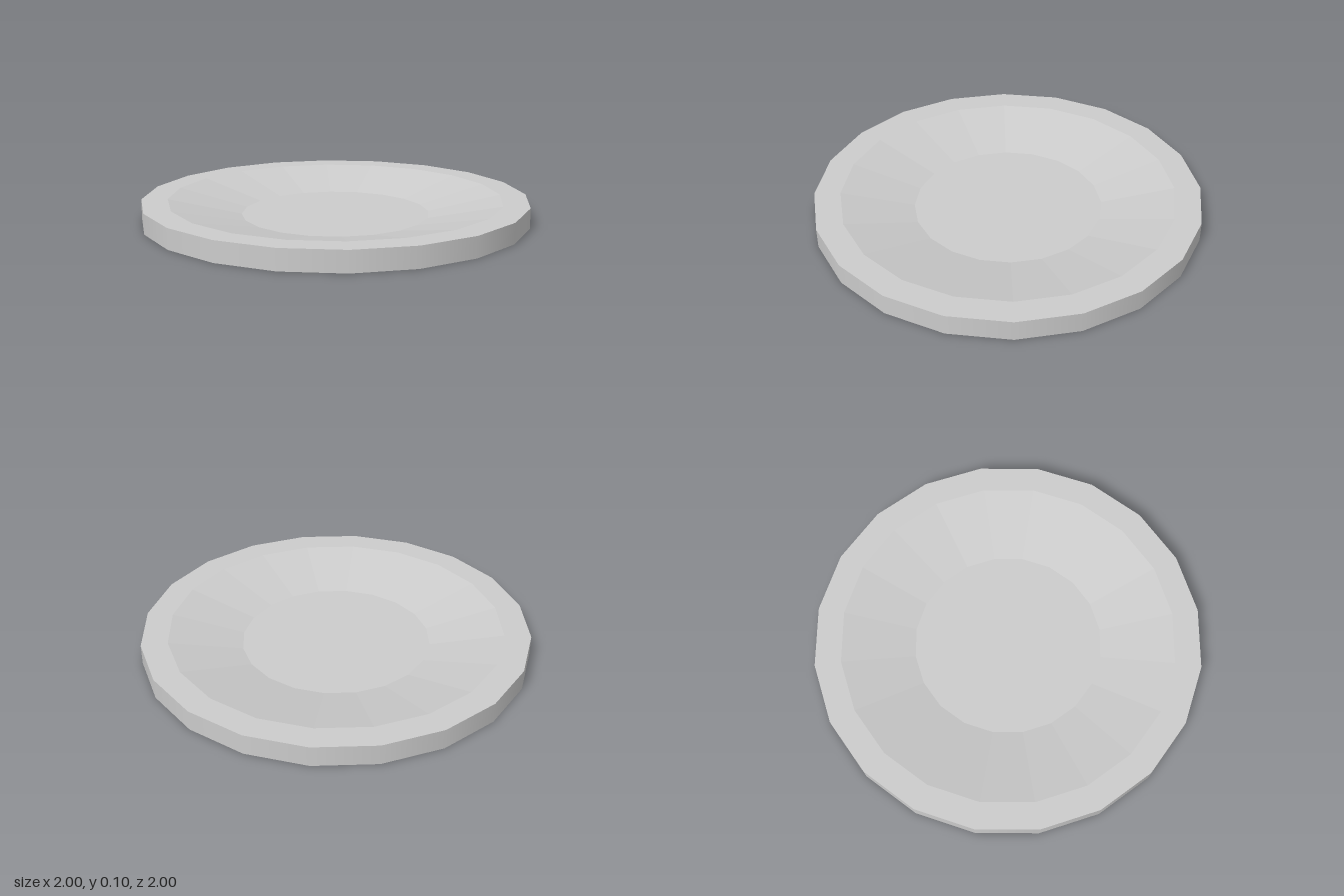
import * as THREE from 'three';

const SIDES = 20;
const HEIGHT = 0.105;
const FLOOR = 0.023;
const RIM_RADIUS = 0.865;
const FLOOR_RADIUS = 0.487;

// Ring swept around y between two [radius, height] points
function ring(name, from, to, flatShading) {
  const profile = [from, to].map(([r, y]) => new THREE.Vector2(r, y));
  const material = new THREE.MeshStandardMaterial({ color: 0xcccccc, flatShading });
  const mesh = new THREE.Mesh(new THREE.LatheGeometry(profile, SIDES), material);
  mesh.name = name;
  return mesh;
}

// Horizontal disc with its corners lined up with the rings
function disc(name, radius, y, facing) {
  const geometry = new THREE.CircleGeometry(radius, SIDES).rotateX(-facing * Math.PI / 2);
  const mesh = new THREE.Mesh(geometry, new THREE.MeshStandardMaterial({ color: 0xcccccc }));
  mesh.position.y = y;
  mesh.name = name;
  return mesh;
}

export function createModel() {
  const plate = new THREE.Group();
  plate.name = 'plate';
  plate.add(
    disc('base', 1, 0, -1),
    // smooth upright edge
    ring('outerWall', [1, 0], [1, HEIGHT], false),
    ring('rim', [1, HEIGHT], [RIM_RADIUS, HEIGHT], true),
    // faceted slope down into the well
    ring('innerSlope', [RIM_RADIUS, HEIGHT], [FLOOR_RADIUS, FLOOR], true),
    disc('floor', FLOOR_RADIUS, FLOOR, 1),
  );
  return plate;
}
